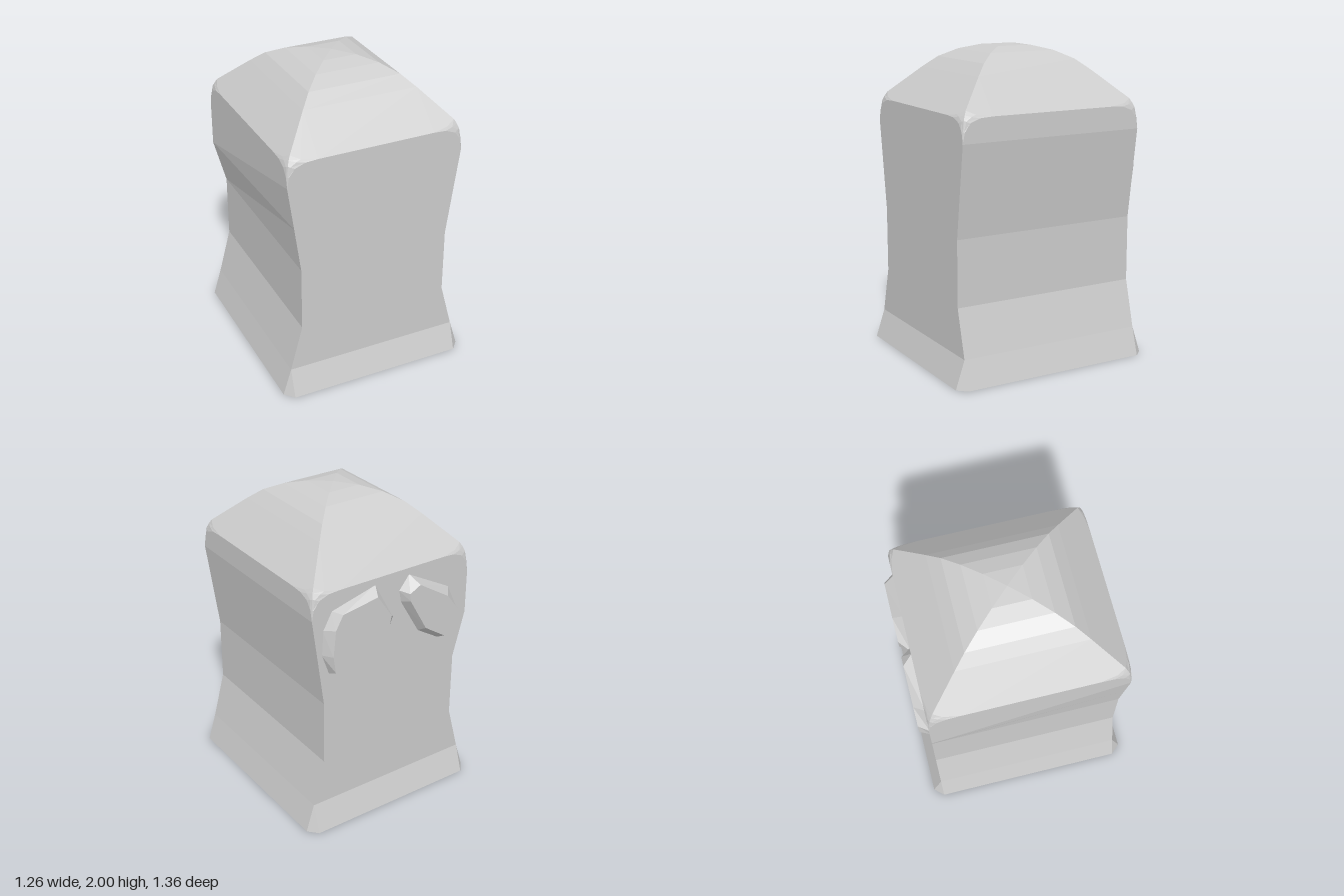
import * as THREE from 'three';

// Skin a stack of closed rings (each [x, y, z] list), capping both ends
function loft(rings) {
  const out = [];
  const tri = (a, b, c) => {
    const u = new THREE.Vector3(...b).sub(new THREE.Vector3(...a));
    const v = new THREE.Vector3(...c).sub(new THREE.Vector3(...a));
    if (u.cross(v).length() > 1e-7) out.push(...a, ...b, ...c);
  };
  const n = rings[0].length;
  for (let j = 0; j < rings.length - 1; j++) {
    for (let i = 0; i < n; i++) {
      const k = (i + 1) % n, a = rings[j], b = rings[j + 1];
      tri(a[i], a[k], b[k]);
      tri(a[i], b[k], b[i]);
    }
  }
  const first = rings[0], last = rings[rings.length - 1];
  for (let i = 1; i < n - 1; i++) {
    tri(first[0], first[i + 1], first[i]);
    tri(last[0], last[i], last[i + 1]);
  }
  const g = new THREE.BufferGeometry();
  g.setAttribute('position', new THREE.Float32BufferAttribute(out, 3));
  g.computeVertexNormals();
  return g;
}

// Mirror one corner (five points running from front to side) into a full ring
function ringFromCorner(corner) {
  const at = (sx, sz) => corner.map(([x, y, z]) => [x * sx, y, z * sz]);
  return [...at(1, 1), ...at(1, -1).reverse(), ...at(-1, -1), ...at(-1, 1).reverse()];
}
const sharp = (x, y, z) => ringFromCorner(Array(5).fill([x, y, z]));

export function createModel() {
  const group = new THREE.Group();
  const grey = new THREE.MeshStandardMaterial({ color: 0xcccccc });
  grey.name = 'paleGrey';
  const add = (name, geometry) => {
    const mesh = new THREE.Mesh(geometry, grey);
    mesh.name = name;
    group.add(mesh);
  };

  // Flared foot with chamfered corners, then the waisted walls
  const foot = [[.575, 0, .68], [.575, 0, .68], [.575, 0, .68], [.63, 0, .62], [.63, 0, .62]];
  const bulge = sharp(.536, 1.2, .62);
  for (const p of bulge) if (p[0] < 0 && p[2] < 0) p[0] = -.575; // uneven rear corner
  const walls = [ringFromCorner(foot), sharp(.575, .18, .62), sharp(.495, .48, .62),
    sharp(.495, .9, .62), bulge, sharp(.575, 1.48, .62)];

  // Rounded shoulders where walls meet the roof
  const shoulders = [
    [[.562, 1.55, .62], [.565, 1.55, .617], [.569, 1.55, .614], [.572, 1.55, .61], [.575, 1.55, .605]],
    [[.525, 1.6, .62], [.548, 1.61, .612], [.561, 1.615, .605], [.568, 1.61, .592], [.575, 1.6, .57]],
    [[.46, 1.625, .62], [.51, 1.635, .61], [.55, 1.645, .592], [.565, 1.635, .555], [.575, 1.625, .505]],
    [[.38, 1.63, .62], [.48, 1.645, .605], [.537, 1.67, .579], [.561, 1.645, .525], [.575, 1.63, .42]],
  ].map(ringFromCorner);

  // Four-sided domed roof
  const roof = [[.65, 1.84], [.525, 1.908], [.365, 1.96], [.19, 1.99], [0, 2]]
    .map(([k, y]) => sharp(.575 * k, y, .62 * k));
  add('body', loft([...walls, ...shoulders, ...roof]));

  // Two bevelled, slanted plates on the back wall
  const plate = (name, base, face) => add(name, loft([
    base.map(([x, y]) => [x, y, -.615]),
    face.map(([x, y]) => [x, y, -.68]),
  ]));
  plate('leftBackPlate',
    [[-.01, 1.335], [.128, 1.59], [.44, 1.51], [.5, 1.4], [.51, 1.24], [.46, 1.1], [.3, 1.07], [.05, 1.19]],
    [[.05, 1.39], [.154, 1.54], [.4, 1.5], [.45, 1.41], [.467, 1.24], [.45, 1.13], [.3, 1.1], [.094, 1.19]]);
  plate('rightBackPlate',
    [[-.51, 1.25], [-.43, 1.42], [-.117, 1.59], [-.045, 1.5], [-.06, 1.42], [-.2, 1.18], [-.36, 1.08], [-.49, 1.11]],
    [[-.47, 1.27], [-.38, 1.39], [-.16, 1.53], [-.085, 1.49], [-.09, 1.44], [-.215, 1.22], [-.365, 1.12], [-.47, 1.15]]);
  return group;
}
